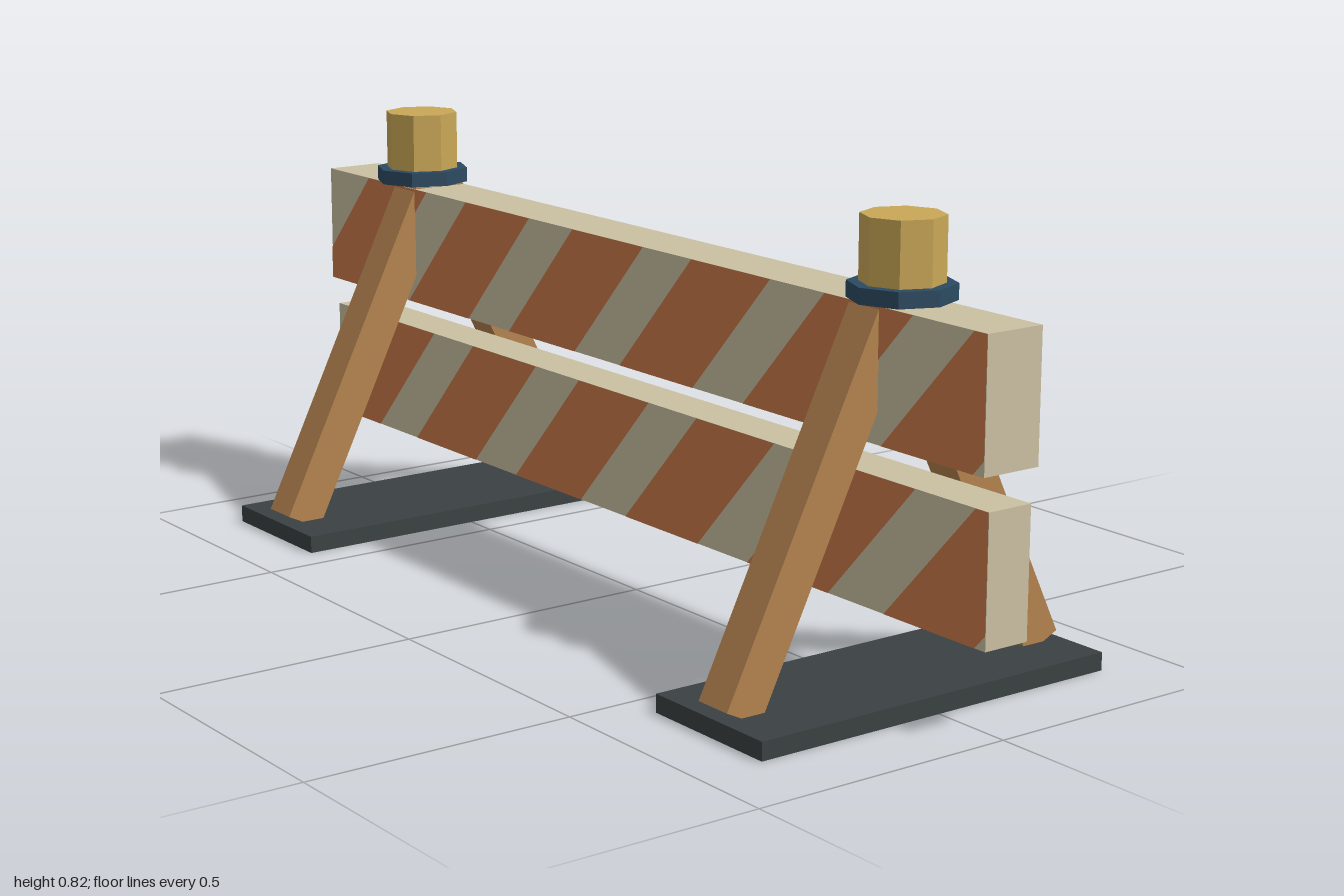
import * as THREE from 'three';

const mat = (name, color) => {
  const m = new THREE.MeshStandardMaterial({ color });
  m.name = name;
  return m;
};

export function createModel() {
  const cream = mat('cream', 0xcbc1a3);
  const orange = mat('orange', 0xcc7a4a);
  const wood = mat('wood', 0xb5834f);
  const rubber = mat('dark rubber', 0x3b4142);
  const navy = mat('navy', 0x2c4a62);
  const amber = mat('amber', 0xc9a757);
  navy.flatShading = amber.flatShading = true;

  const root = new THREE.Group();
  root.name = 'barricade';
  const add = (parent, name, geo, material, x, y, z) => {
    const mesh = new THREE.Mesh(geo, material);
    mesh.name = name;
    mesh.position.set(x, y, z);
    parent.add(mesh);
    return mesh;
  };

  // Slanted bands, cut off at the ends of a board of height h
  const START = -1.06, BAND = 0.22, PERIOD = 0.363, LEAN = 0.215;
  const bandShape = (x0, h) => {
    const lean = (x) => [[x, 0], [x + LEAN, h]];
    const [a, d] = lean(x0), [b, c] = lean(x0 + BAND);
    const slope = h / LEAN;
    let pts = [a, b, c, d];
    // clip against x >= -1 and x <= 1
    for (const side of [-1, 1]) {
      const inside = (p) => p[0] * side <= 1;
      const out = [];
      pts.forEach((p, i) => {
        const q = pts[(i + 1) % pts.length];
        if (inside(p)) out.push(p);
        if (inside(p) !== inside(q)) {
          const t = (side - p[0]) / (q[0] - p[0]);
          out.push([side, p[1] + t * (q[1] - p[1])]);
        }
      });
      pts = out;
    }
    return new THREE.Shape(pts.map((p) => new THREE.Vector2(...p)));
  };

  // Boards with stripes on both faces
  const H = 0.23;
  for (const [name, y, half] of [['upperBoard', 0.445, 0.058], ['lowerBoard', 0.157, 0.045]]) {
    const board = new THREE.Group();
    board.name = name;
    root.add(board);
    add(board, 'plank', new THREE.BoxGeometry(2, H, half * 2), cream, 0, y + H / 2, 0);
    for (let k = 0; k < 6; k++) {
      const x0 = START + k * PERIOD;
      add(board, 'frontStripe', new THREE.ShapeGeometry(bandShape(x0, H)), orange, 0, y, half + 0.001);
      // the same band, turned to face backwards
      const back = new THREE.ShapeGeometry(bandShape(x0, H));
      const idx = back.index.array;
      for (let i = 0; i < idx.length; i += 3) [idx[i], idx[i + 1]] = [idx[i + 1], idx[i]];
      back.computeVertexNormals();
      add(board, 'backStripe', back, orange, 0, y, -half - 0.001);
    }
  }

  // Two A-frame stands, each with a base, two legs and a lamp
  const foot = new THREE.Vector2(0.329, 0.031), top = new THREE.Vector2(0.015, 0.674);
  const length = foot.distanceTo(top);
  const tilt = Math.atan2(foot.x - top.x, top.y - foot.y);
  for (const side of [-1, 1]) {
    const stand = new THREE.Group();
    stand.name = side > 0 ? 'leftStand' : 'rightStand';
    root.add(stand);
    const x = side * 0.707;
    add(stand, 'base', new THREE.BoxGeometry(0.28, 0.033, 0.746), rubber, x, 0.0165, 0);
    for (const s of [-1, 1]) {
      const leg = add(stand, s > 0 ? 'frontLeg' : 'backLeg', new THREE.BoxGeometry(0.075, length, 0.076),
        wood, x, (foot.y + top.y) / 2, s * (foot.x + top.x) / 2);
      leg.rotation.x = -s * tilt;
    }
    const lampX = side * 0.733;
    add(stand, 'lampCollar', new THREE.CylinderGeometry(0.092, 0.092, 0.028, 8), navy, lampX, 0.694, 0);
    add(stand, 'lamp', new THREE.CylinderGeometry(0.072, 0.072, 0.113, 8), amber, lampX, 0.7635, 0);
  }
  return root;
}
